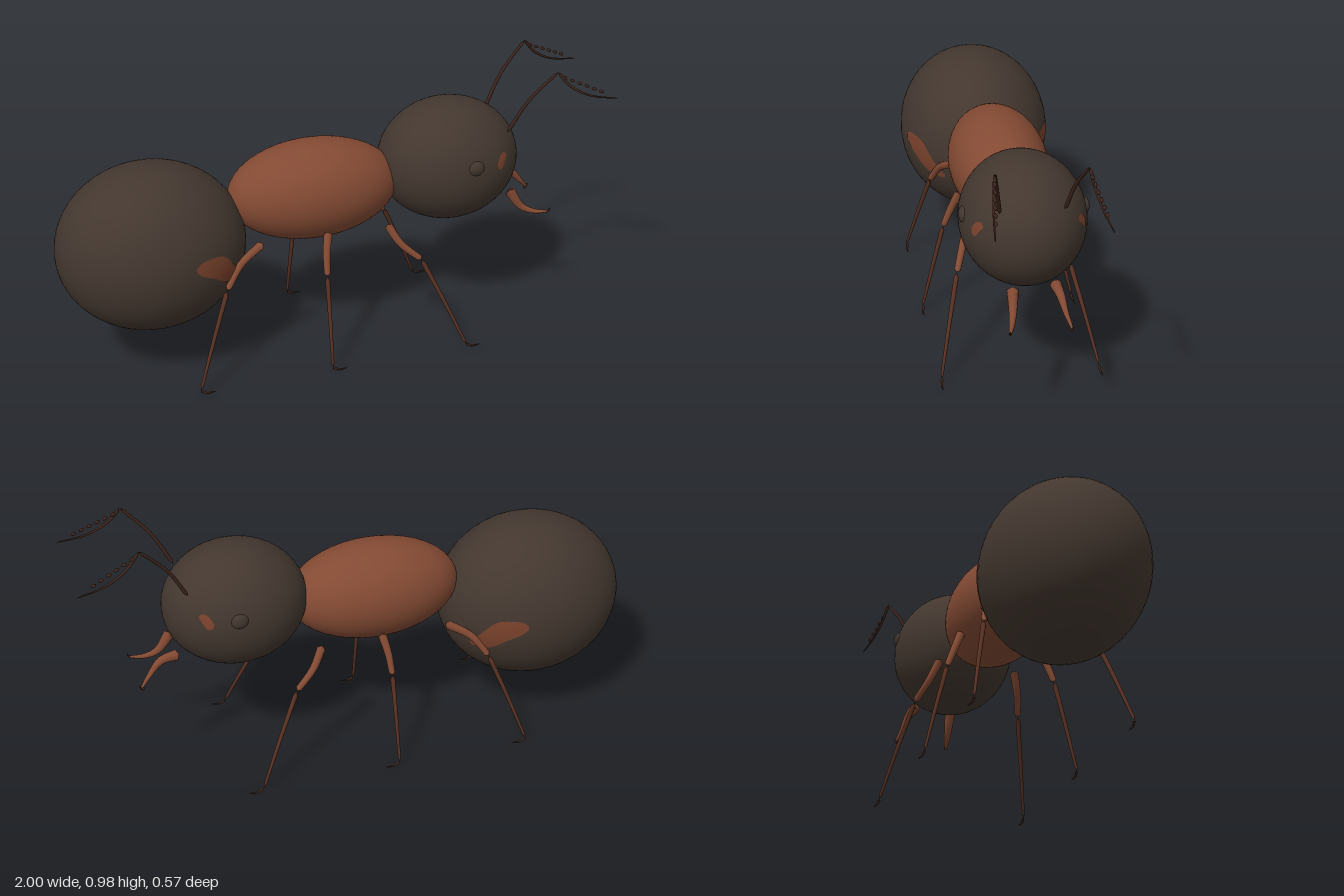
import * as THREE from 'three';

const paint = (name, color, extra = {}) =>
  Object.assign(new THREE.MeshStandardMaterial({ color, ...extra }), { name });
const V = (p) => new THREE.Vector3(...p);

export function createModel() {
  const ant = new THREE.Group();
  ant.name = 'ant';
  const dark = paint('dark shell', 0x43372f);
  const rust = paint('rust shell', 0x834a33);
  const marking = paint('rust marking', 0x7a422c, { side: THREE.DoubleSide });
  const brown = paint('brown shin', 0x593122);
  const umber = paint('dark feeler', 0x3d241b);

  function add(name, geometry, material, parent = ant) {
    const mesh = new THREE.Mesh(geometry, material);
    mesh.name = name;
    parent.add(mesh);
    return mesh;
  }

  function ellipsoid(name, centre, radii, material, detail = 48, parent = ant) {
    const g = new THREE.SphereGeometry(1, detail, detail / 2);
    g.scale(...radii);
    const mesh = add(name, g, material, parent);
    mesh.position.set(...centre);
    return mesh;
  }

  // Tube along a smooth curve, tapering from r0 to r1 with closed ends
  function limb(name, points, r0, r1, material, parent = ant) {
    const n = 20, sides = 10;
    const curve = new THREE.CatmullRomCurve3(points.map(V));
    const g = new THREE.TubeGeometry(curve, n, 1, sides);
    const pos = g.attributes.position, v = new THREE.Vector3();
    for (let i = 0; i <= n; i++) {
      const c = curve.getPointAt(i / n);
      const r = i === 0 || i === n ? 0 : r0 + (r1 - r0) * (i / n);
      for (let j = 0; j <= sides; j++) {
        const k = i * (sides + 1) + j;
        v.fromBufferAttribute(pos, k).sub(c).multiplyScalar(r).add(c);
        pos.setXYZ(k, v.x, v.y, v.z);
      }
    }
    return add(name, g, material, parent);
  }

  // Thin marking between two (x, y) edge curves, laid on an ellipsoid's side
  function patch(name, centre, radii, upper, lower, side) {
    const top = new THREE.SplineCurve(upper.map((p) => new THREE.Vector2(...p)));
    const low = new THREE.SplineCurve(lower.map((p) => new THREE.Vector2(...p)));
    const g = new THREE.PlaneGeometry(1, 1, 20, 8);
    const pos = g.attributes.position, uv = g.attributes.uv;
    for (let i = 0; i < pos.count; i++) {
      const p = top.getPoint(uv.getX(i)).lerp(low.getPoint(uv.getX(i)), 1 - uv.getY(i));
      const dx = (p.x - centre[0]) / radii[0], dy = (p.y - centre[1]) / radii[1];
      const z = Math.sqrt(Math.max(0, 1 - dx * dx - dy * dy)) * radii[2];
      const s = 1.006;
      pos.setXYZ(i, centre[0] + dx * radii[0] * s, centre[1] + dy * radii[1] * s, side * z * s);
    }
    if (side < 0) g.index.array.reverse();
    g.computeVertexNormals();
    add(name, g, marking);
  }

  // Body
  const abdomen = [[-0.665, 0.472, 0], [0.335, 0.302, 0.278]];
  const head = [[0.43, 0.643, 0], [0.255, 0.223, 0.215]];
  ellipsoid('abdomen', ...abdomen, dark, 64);
  ellipsoid('thorax', [-0.075, 0.6, 0], [0.31, 0.179, 0.175], rust, 64);
  ellipsoid('head', ...head, dark, 64);

  // Legs: hip, bend, knee, ankle, toe (x, y)
  const legs = {
    front: [[0.155, 0.485], [0.197, 0.415], [0.265, 0.355], [0.415, 0.02]],
    middle: [[-0.063, 0.492], [-0.078, 0.425], [-0.085, 0.35], [-0.09, 0.02]],
    rear: [[-0.3, 0.488], [-0.388, 0.435], [-0.447, 0.358], [-0.573, 0.02]],
  };

  for (const s of [1, -1]) {
    const sideName = s > 0 ? 'Near' : 'Far';
    for (const [pair, [hip, bend, knee, ankle]] of Object.entries(legs)) {
      const leg = new THREE.Group();
      leg.name = pair + 'Leg' + sideName;
      ant.add(leg);
      const at = (p, z) => [p[0], p[1], s * z];
      const mid = [(knee[0] + ankle[0]) / 2, (knee[1] + ankle[1]) / 2 + 0.005];
      limb('thigh', [at(hip, 0.142), at(bend, 0.17), at(knee, 0.199)], 0.016, 0.011, rust, leg);
      limb('shin', [at(knee, 0.199), at(mid, 0.239), at(ankle, 0.279)], 0.009, 0.005, brown, leg);
      const [x, y] = ankle;
      limb('foot', [at(ankle, 0.277), at([x + 0.022, y - 0.011], 0.28),
        at([x + 0.052, y - 0.009], 0.281)], 0.005, 0.002, umber, leg);
    }

    // Antenna with a row of beads above the outer section
    const antenna = new THREE.Group();
    antenna.name = 'antenna' + sideName;
    ant.add(antenna);
    limb('antennaStem', [[0.615, 0.76, s * 0.107], [0.683, 0.882, s * 0.127],
      [0.778, 0.986, s * 0.149]], 0.007, 0.005, umber, antenna);
    limb('antennaTip', [[0.778, 0.986, s * 0.149], [0.825, 0.93, s * 0.16],
      [0.895, 0.89, s * 0.171], [1, 0.869, s * 0.184]], 0.006, 0.002, umber, antenna);
    for (let i = 0; i < 6; i++) {
      const t = i / 5;
      const bead = ellipsoid('antennaBead', [0.803 + 0.135 * t, 0.963 - 0.063 * t, s * (0.153 + 0.02 * t)],
        [0.01, 0.006, 0.006], umber, 10, antenna);
      bead.rotation.z = -0.45;
    }

    // Jaws: one arches upward, the other sags
    const arch = s > 0 ? [[0.695, 0.435], [0.74, 0.413]] : [[0.715, 0.495], [0.76, 0.45]];
    limb('jaw' + sideName, [[0.648, 0.505, s * 0.07], [...arch[0], s * 0.077],
      [...arch[1], s * 0.088], [0.795, 0.41, s * 0.103]], 0.021, 0.004, rust);
    limb('jawHook' + sideName, [[0.782, 0.408, s * 0.1], [0.793, 0.412, s * 0.102],
      [0.798, 0.424, s * 0.104]], 0.005, 0.002, umber);

    // Eyes and markings
    ellipsoid('eye' + sideName, [0.46, 0.685, s * 0.203], [0.031, 0.028, 0.017], dark, 24);
    patch('cheekMarking' + sideName, ...head,
      [[0.545, 0.68], [0.56, 0.705], [0.578, 0.712], [0.592, 0.7]],
      [[0.545, 0.68], [0.552, 0.664], [0.568, 0.66], [0.592, 0.7]], s);
    patch('abdomenMarking' + sideName, ...abdomen,
      [[-0.568, 0.5], [-0.54, 0.516], [-0.475, 0.512], [-0.435, 0.475], [-0.392, 0.4]],
      [[-0.568, 0.485], [-0.545, 0.464], [-0.5, 0.437], [-0.45, 0.395], [-0.4, 0.385]], s);
  }
  return ant;
}
